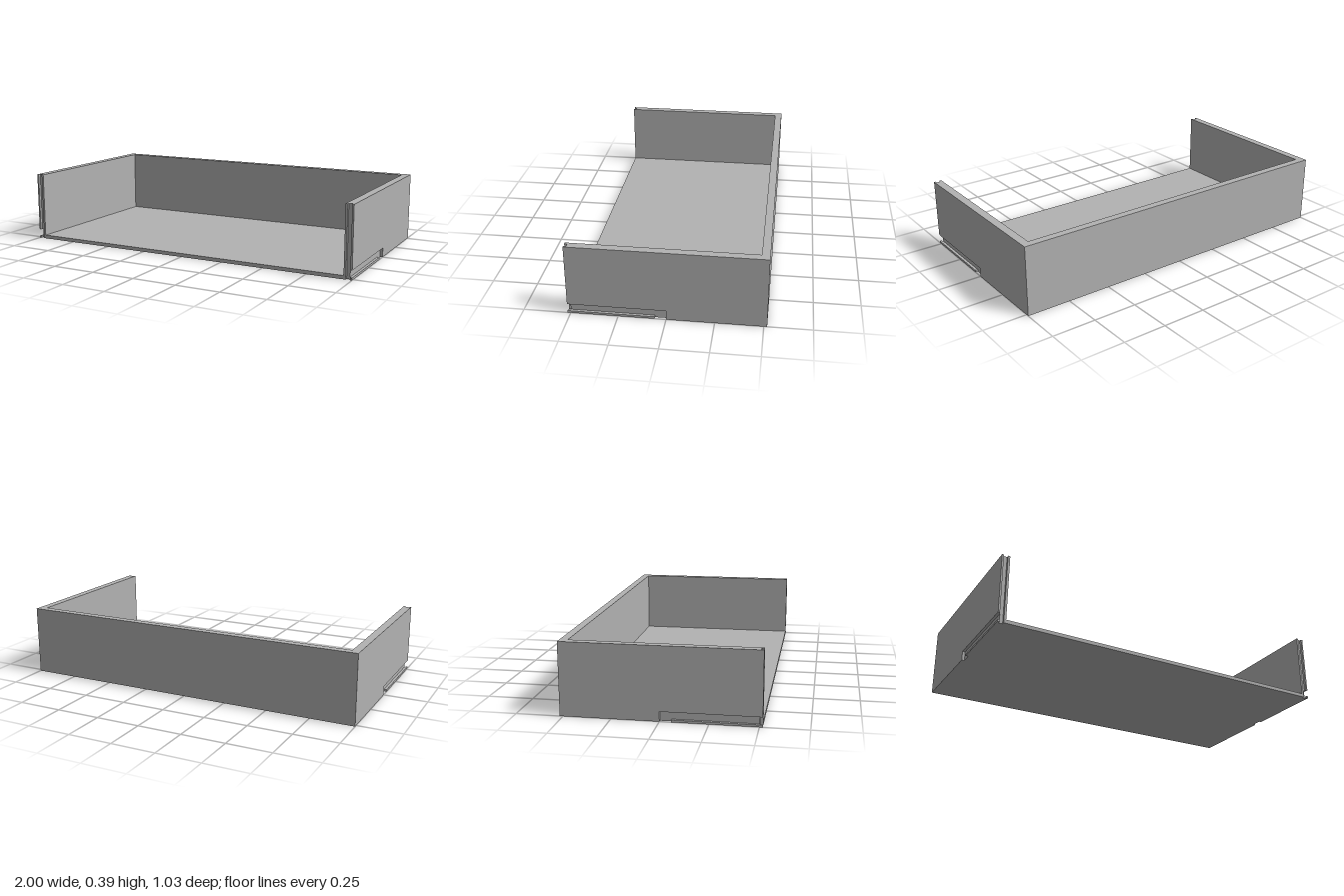
import * as THREE from 'three';

const X = 1, Z = 0.517;          // outer half width and half depth
const IN_X = 0.955, IN_Z = -0.474; // inner faces of the side and back walls
const HEIGHT = 0.392, FLOOR = 0.02;
const SLOT_X = 0.985;            // bottom of the runner slots in the outer sides
const END_Z = 0.502;             // bottom of the grooves in the wall ends

// Groove cut into the front end of a side wall, ending at its inner corner
const groove = [[0.967, END_Z], [0.967, Z], [IN_X, Z]];
const lip = [[X, Z], [0.99, Z], [0.99, END_Z]];
const slotStart = [[X, 0], [SLOT_X, 0]];

// U-shaped wall layer between two heights; outer lists the [x, z] points of one side
function wallLayer(name, y0, y1, outer, material) {
  const half = [[X, -Z], ...outer, ...groove, [IN_X, IN_Z]];
  const all = [...half, ...half.map(([x, z]) => [-x, z]).reverse()];
  const shape = new THREE.Shape(all.map(([x, z]) => new THREE.Vector2(x, -z)));
  const geometry = new THREE.ExtrudeGeometry(shape, { depth: y1 - y0, bevelEnabled: false });
  geometry.rotateX(-Math.PI / 2).translate(0, y0, 0);
  const mesh = new THREE.Mesh(geometry, material);
  mesh.name = name;
  return mesh;
}

export function createModel() {
  const group = new THREE.Group();
  group.name = 'openFrontDrawer';
  const grey = new THREE.MeshStandardMaterial({ color: 0xb2b2b2 });
  grey.name = 'grey';

  // Walls: lower rail with an opening, runner slot, and plain upper part
  group.add(
    wallLayer('lowerRail', 0, 0.012, [...slotStart, [SLOT_X, 0.06], [X, 0.06], ...lip], grey),
    wallLayer('slottedWall', 0.012, 0.052, [...slotStart, [SLOT_X, END_Z]], grey),
    wallLayer('upperWall', 0.052, HEIGHT, lip, grey),
  );

  // Floor between the walls
  const floor = new THREE.Mesh(new THREE.BoxGeometry(2 * IN_X, FLOOR, Z - IN_Z), grey);
  floor.position.set(0, FLOOR / 2, (Z + IN_Z) / 2);
  floor.name = 'floor';
  group.add(floor);

  return group;
}
